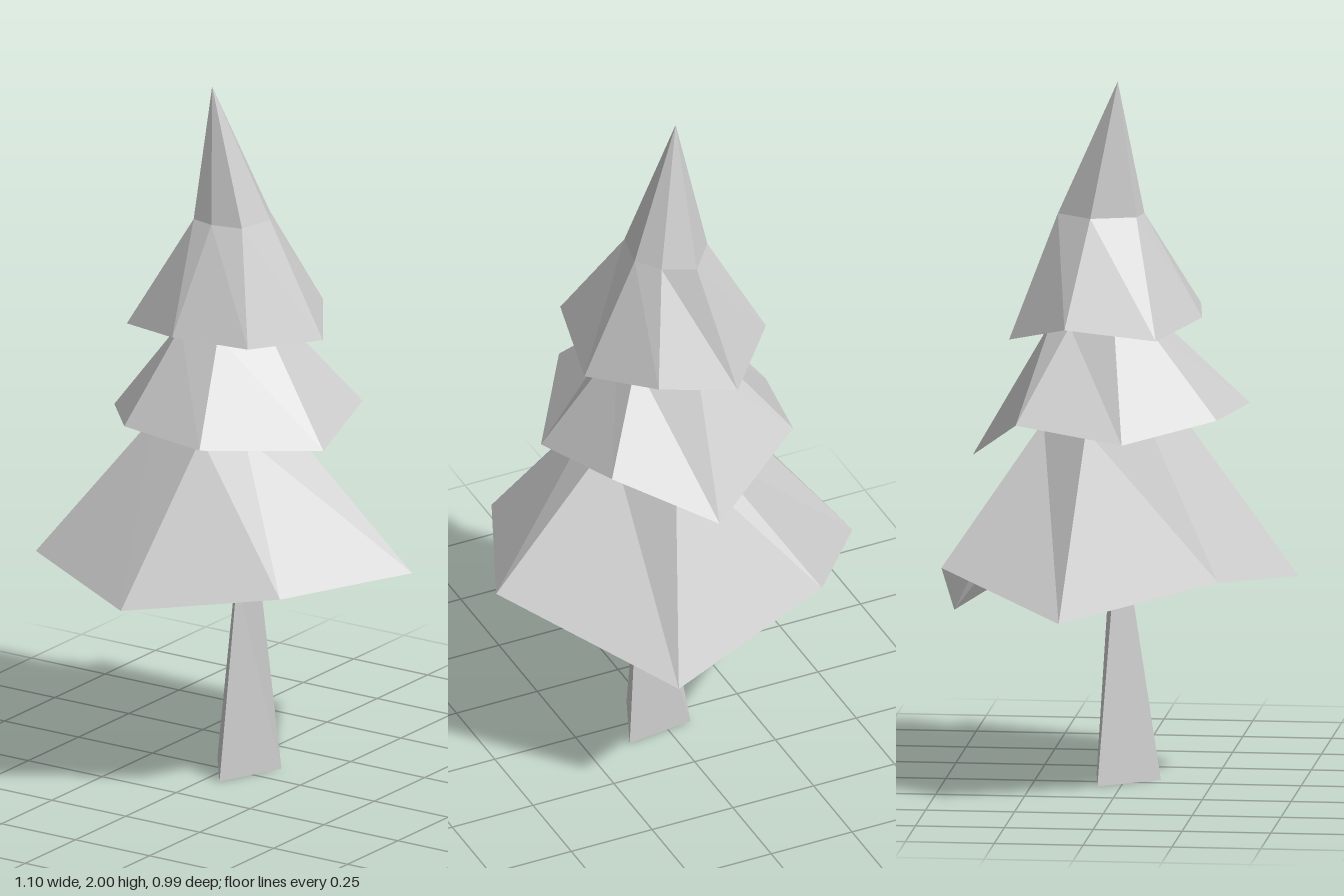
import * as THREE from 'three';

const material = new THREE.MeshStandardMaterial({ color: 0xcccccc, flatShading: true, side: THREE.DoubleSide });

// Joins equal-sized rings of [x, y, z] points, given from the bottom up, with flat facets.
function loft(name, rings) {
  const positions = [];
  const n = rings[0].length;
  for (let r = 0; r < rings.length - 1; r++) {
    const low = rings[r], up = rings[r + 1];
    for (let i = 0; i < n; i++) {
      const j = (i + 1) % n;
      positions.push(...low[i], ...low[j], ...up[i], ...low[j], ...up[j], ...up[i]);
    }
  }
  const geometry = new THREE.BufferGeometry();
  geometry.setAttribute('position', new THREE.Float32BufferAttribute(positions, 3));
  geometry.computeVertexNormals();
  const mesh = new THREE.Mesh(geometry, material);
  mesh.name = name;
  return mesh;
}

// Ring of [x, z] points at one height.
const level = (y, points) => points.map(([x, z]) => [x, y, z]);

// Ring shrunk towards the trunk axis and set at a new height.
const shrink = (ring, s, y) => ring.map(([x, , z]) => [x * s, y, -0.03 + (z + 0.03) * s]);

export function createModel() {
  const tree = new THREE.Group();
  tree.name = 'pineTree';

  // Open three-sided trunk: wide foot, narrow waist, slight flare under the branches
  tree.add(loft('trunk', [
    level(0, [[0.045, 0.1], [0.125, -0.09], [-0.075, -0.065]]),
    level(0.56, [[0.045, 0.015], [0.08, -0.05], [0.01, -0.03]]),
    level(0.74, [[0.045, 0.05], [0.085, -0.07], [-0.03, -0.035]]),
  ]));

  // Uneven rims of the branch tiers
  const lowerRim = [[-0.02, 0.6, 0.495], [0.375, 0.65, 0.285], [0.55, 0.65, -0.115], [0.165, 0.45, -0.495],
    [-0.285, 0.65, -0.48], [-0.55, 0.545, -0.12], [-0.43, 0.65, 0.315]];
  const middleRim = [[0.14, 1.06, 0.34], [0.345, 1.01, 0.025], [0.27, 1.06, -0.28], [0.005, 0.92, -0.425],
    [-0.295, 1.06, -0.27], [-0.355, 1.02, 0.035], [-0.155, 1.06, 0.28]];
  const upperRim = [[0.205, 1.33, 0.195], [0.265, 1.29, -0.09], [0.13, 1.33, -0.29], [-0.105, 1.27, -0.31],
    [-0.275, 1.33, -0.135], [-0.255, 1.3, 0.12], [-0.03, 1.33, 0.225]];

  // Shoulders where each tier changes slope
  const lowerShoulder = level(1.03, [[0.03, 0.17], [0.13, 0.1], [0.17, -0.06], [0.04, -0.21],
    [-0.045, -0.22], [-0.18, -0.085], [-0.18, 0.1]]);
  const middleShoulder = level(1.31, [[0.04, 0.1], [0.13, -0.02], [0.12, -0.12], [-0.03, -0.2],
    [-0.1, -0.14], [-0.14, -0.01], [-0.1, 0.08]]);
  const upperShoulder = level(1.62, [[0.08, 0.04], [0.1, -0.07], [0.05, -0.14], [-0.04, -0.18],
    [-0.12, -0.08], [-0.08, 0.045], [-0.01, 0.06]]);

  // Hollow skirts, each tucked into the one above
  tree.add(loft('lowerBranches', [lowerRim, lowerShoulder, shrink(lowerShoulder, 0.78, 1.12)]));
  tree.add(loft('middleBranches', [middleRim, middleShoulder, shrink(middleShoulder, 0.78, 1.39)]));
  const tip = upperShoulder.map(() => [-0.055, 2, -0.01]);
  tree.add(loft('upperBranches', [upperRim, upperShoulder, tip]));

  return tree;
}
